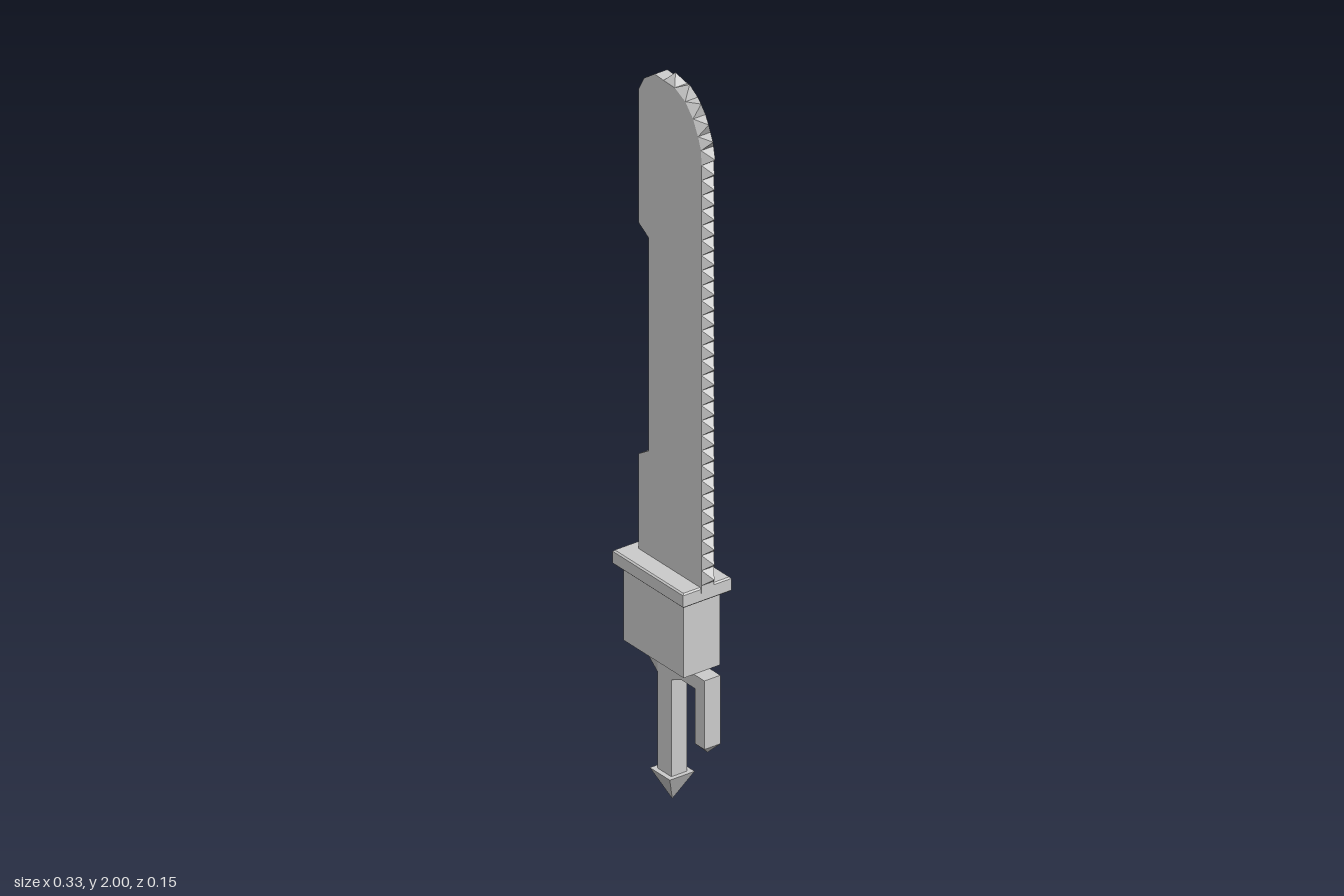
import * as THREE from 'three';

const material = new THREE.MeshStandardMaterial({ color: 0xcccccc, flatShading: true });

function addMesh(parent, name, geometry) {
  const mesh = new THREE.Mesh(geometry, material);
  mesh.name = name;
  parent.add(mesh);
  return mesh;
}

// Flat plate from an outline in x and y, centred on z = 0
function plate(points, thickness) {
  const shape = new THREE.Shape(points.map(([x, y]) => new THREE.Vector2(x, y)));
  return new THREE.ExtrudeGeometry(shape, { depth: thickness, bevelEnabled: false })
    .translate(0, 0, -thickness / 2);
}

// Four-sided pyramid standing on y = 0 with its point up
function pyramid(width, height, depth) {
  return new THREE.ConeGeometry(Math.SQRT1_2, 1, 4, 1)
    .rotateY(Math.PI / 4)
    .translate(0, 0.5, 0)
    .scale(width, height, depth);
}

export function createModel() {
  const model = new THREE.Group();
  model.name = 'sawBlade';
  const bladeDepth = 0.038;

  // Curved tip of the cutting edge, running down to the straight part
  const curve = [
    [-0.02, 1.973], [0.025, 1.972], [0.067, 1.952], [0.098, 1.918],
    [0.118, 1.878], [0.13, 1.845], [0.132, 1.805],
  ];

  // Blade with a long notch in its back
  addMesh(model, 'blade', plate([
    [-0.12, 0.63], [0.132, 0.63], ...[...curve].reverse(),
    [-0.055, 1.975], [-0.098, 1.945], [-0.12, 1.905],
    [-0.12, 1.54], [-0.08, 1.515], [-0.08, 0.93], [-0.12, 0.905],
  ], bladeDepth));

  // Pyramid teeth along the cutting edge
  const edge = [...curve];
  const straightTeeth = 28, startY = 1.805, endY = 0.652;
  for (let i = 1; i <= straightTeeth; i++) {
    edge.push([0.132, startY + (endY - startY) * i / straightTeeth]);
  }
  const teeth = new THREE.Group();
  teeth.name = 'teeth';
  model.add(teeth);
  for (let i = 0; i < edge.length - 1; i++) {
    const [ax, ay] = edge[i], [bx, by] = edge[i + 1];
    const height = i > 0 && i < curve.length - 1 ? 0.031 : 0.026;
    const tooth = addMesh(teeth, 'tooth', pyramid(Math.hypot(bx - ax, by - ay), height, bladeDepth));
    tooth.position.set((ax + bx) / 2, (ay + by) / 2, 0);
    tooth.rotation.z = Math.atan2(by - ay, bx - ax);
  }

  // Guard with a narrow bevel all round
  const bevel = 0.004;
  const guardShape = new THREE.Shape([
    new THREE.Vector2(-0.148, -0.069), new THREE.Vector2(0.126, -0.069),
    new THREE.Vector2(0.126, 0.069), new THREE.Vector2(-0.148, 0.069),
  ]);
  const guard = new THREE.ExtrudeGeometry(guardShape, {
    depth: 0.032, bevelThickness: bevel, bevelSize: bevel, bevelSegments: 1,
  }).rotateX(-Math.PI / 2).translate(0, 0.609, 0);
  addMesh(model, 'guard', guard);

  // Block below the guard
  addMesh(model, 'handleBlock', new THREE.BoxGeometry(0.24, 0.208, 0.11).translate(-0.012, 0.504, 0));

  // Stem and side prong, joined by an arm under the block
  addMesh(model, 'stemAndProng', plate([
    [-0.038, 0.402], [-0.038, 0.07], [0.018, 0.07], [0.018, 0.345], [0.06, 0.363],
    [0.112, 0.363], [0.112, 0.212], [0.15, 0.212], [0.15, 0.4],
  ], 0.048));

  // Side spike narrowing to a point
  const spike = plate([[-0.165, 0.4], [-0.038, 0.345], [-0.038, 0.4]], 0.048);
  const position = spike.attributes.position;
  for (let i = 0; i < position.count; i++) {
    if (position.getX(i) < -0.1) position.setZ(i, 0);
  }
  spike.computeVertexNormals();
  addMesh(model, 'sideSpike', spike);

  // Points at the ends of the stem and the prong
  addMesh(model, 'stemPoint', pyramid(0.08, 0.08, 0.075).rotateX(Math.PI).translate(-0.01, 0.08, 0));
  addMesh(model, 'prongPoint', pyramid(0.038, 0.024, 0.048).rotateX(Math.PI).translate(0.131, 0.212, 0));

  return model;
}
